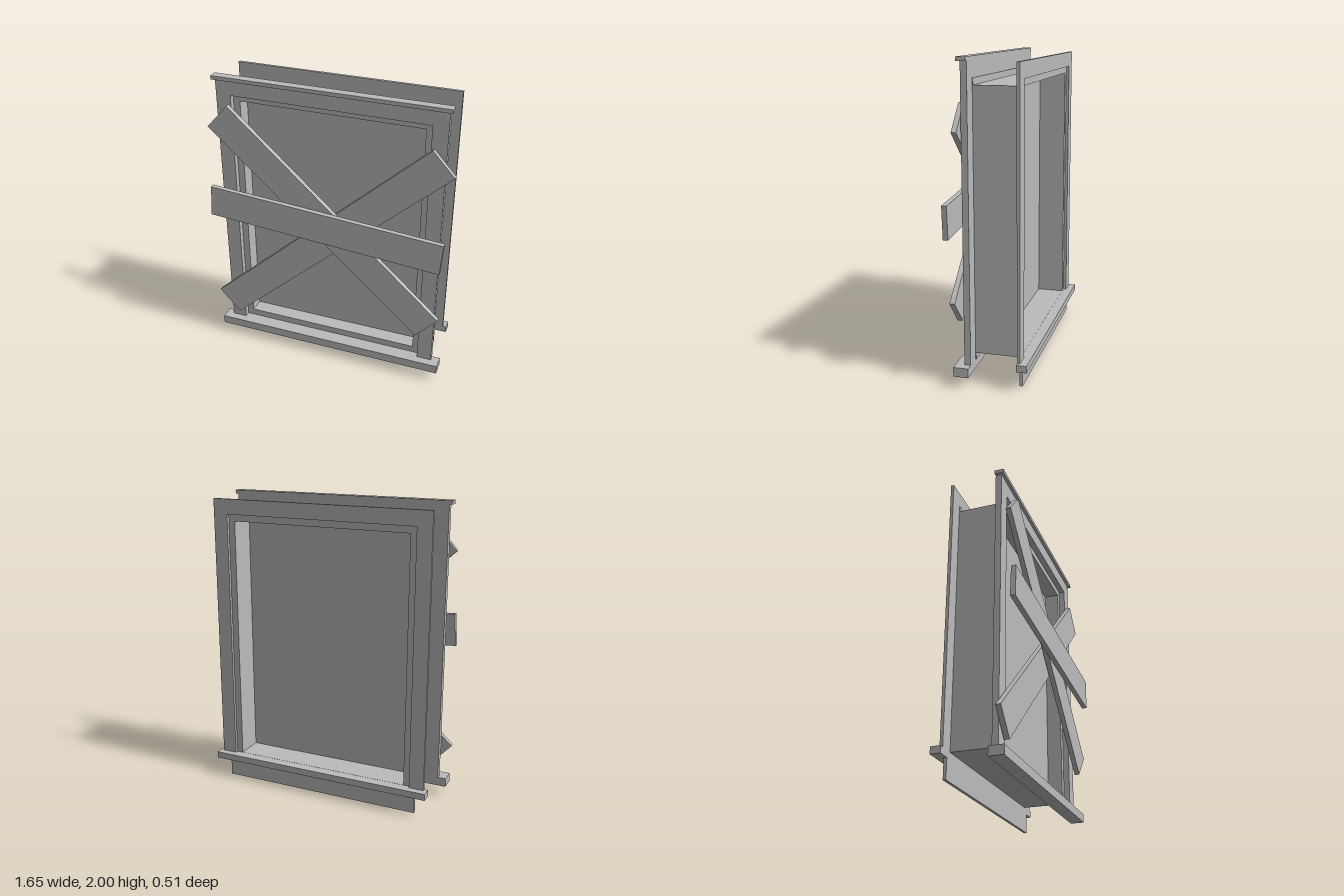
import * as THREE from 'three';

export function createModel() {
  const model = new THREE.Group();
  model.name = 'boardedWindow';
  const wood = new THREE.MeshStandardMaterial({ color: 0xbbbbbb });
  wood.name = 'plain grey';

  // Box given by its limits on each axis
  function block(name, [x0, x1], [y0, y1], [z0, z1], parent = model) {
    const mesh = new THREE.Mesh(new THREE.BoxGeometry(x1 - x0, y1 - y0, z1 - z0), wood);
    mesh.position.set((x0 + x1) / 2, (y0 + y1) / 2, (z0 + z1) / 2);
    mesh.name = name;
    parent.add(mesh);
    return mesh;
  }

  // Flat trim around the opening: two stiles and a head board
  function casing(name, bottom, z) {
    const group = new THREE.Group();
    group.name = name;
    block('rightStile', [-0.755, -0.655], [bottom, 1.875], z, group);
    block('leftStile', [0.655, 0.755], [bottom, 1.875], z, group);
    block('headBoard', [-0.755, 0.755], [1.875, 1.975], z, group);
    model.add(group);
  }

  // Front trim
  casing('frontCasing', 0.13, [0.105, 0.145]);
  block('headCap', [-0.775, 0.775], [1.975, 2], [0.105, 0.165]);
  block('frontSill', [-0.81, 0.81], [0.07, 0.13], [0.105, 0.2]);

  // Back trim
  casing('backCasing', 0.175, [-0.208, -0.188]);
  block('backLedge', [-0.78, 0.78], [0.13, 0.175], [-0.255, -0.188]);
  block('apron', [-0.695, 0.695], [0, 0.13], [-0.208, -0.188]);

  // Deep window box with a thin head, floor and end lips
  const depth = [-0.188, 0.105];
  block('rightJamb', [-0.655, -0.61], [0.175, 1.83], depth);
  block('leftJamb', [0.61, 0.655], [0.175, 1.83], depth);
  block('boxHead', [-0.655, 0.655], [1.829, 1.833], depth);
  block('boxFloor', [-0.655, 0.655], [0.172, 0.176], depth);
  block('frontTopLip', [-0.655, 0.655], [1.833, 1.875], [0.101, 0.105]);
  block('backTopLip', [-0.655, 0.655], [1.833, 1.875], [-0.188, -0.184]);
  block('frontBottomLip', [-0.655, 0.655], [0.13, 0.172], [0.101, 0.105]);
  block('pane', [-0.61, 0.61], [0.176, 1.829], [-0.003, 0.003]);

  // Planks nailed across the front: length, centre, tilt in degrees, depth
  const planks = [
    ['risingPlank', 2.04, -0.003, 0.966, 42.47, 0.167],
    ['fallingPlank', 1.943, 0, 1.104, -42.08, 0.205],
    ['middlePlank', 1.594, 0, 1.09, -4.14, 0.241],
  ];
  for (const [name, length, x, y, tilt, z] of planks) {
    const plank = new THREE.Mesh(new THREE.BoxGeometry(length, 0.215, 0.033), wood);
    plank.position.set(x, y, z);
    plank.rotation.z = THREE.MathUtils.degToRad(tilt);
    plank.name = name;
    model.add(plank);
  }

  return model;
}
